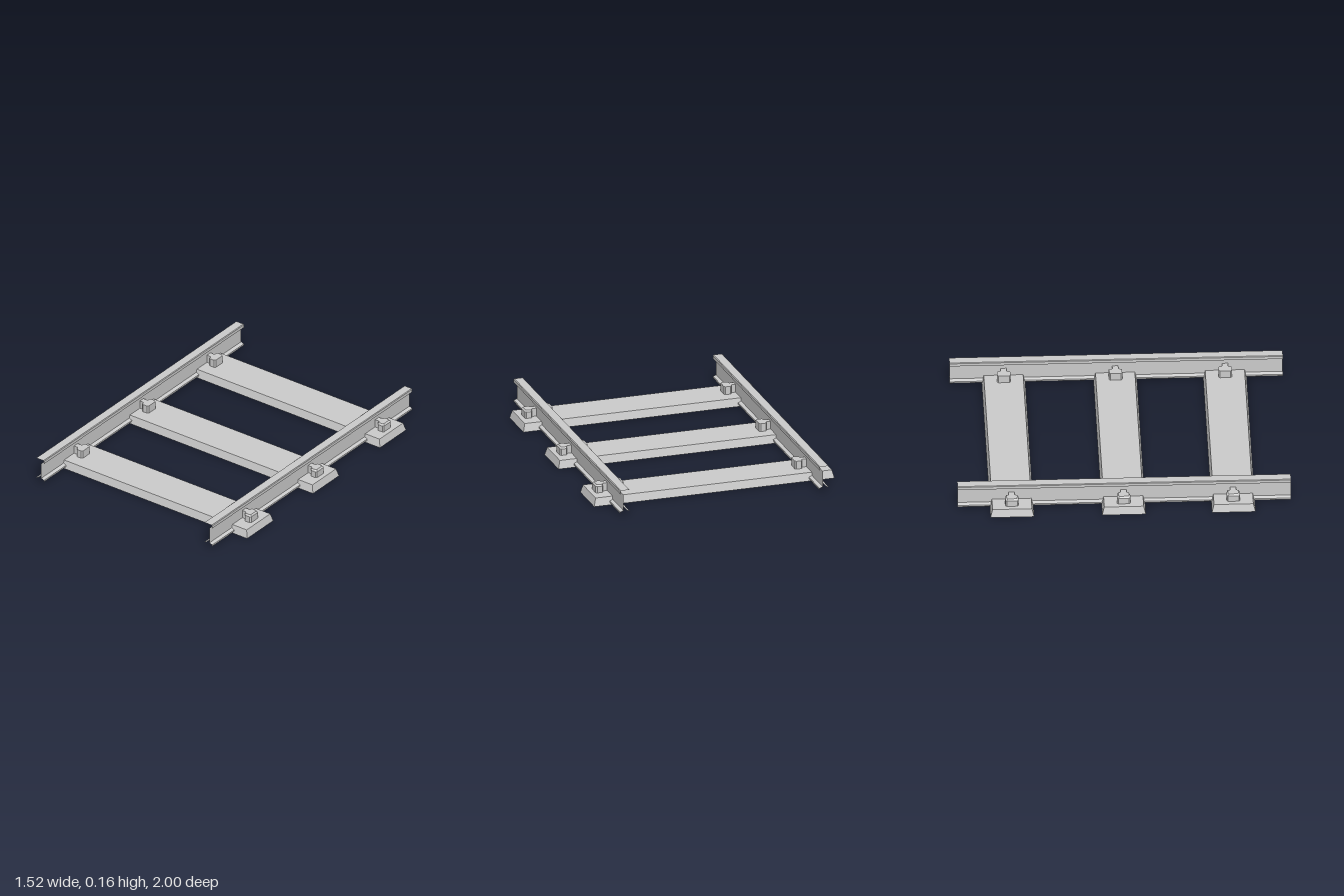
import * as THREE from 'three';

const grey = new THREE.MeshStandardMaterial({ color: 0xcccccc, flatShading: true });

function part(name, geometry, x, y, z) {
  const mesh = new THREE.Mesh(geometry, grey);
  mesh.name = name;
  mesh.position.set(x, y, z);
  return mesh;
}

// Sleeper: a box whose top is drawn in on all four sides
function sleeperGeometry() {
  const g = new THREE.BoxGeometry(1.52, 0.05, 0.262);
  const p = g.attributes.position;
  for (let i = 0; i < p.count; i++) {
    if (p.getY(i) > 0) {
      p.setX(i, p.getX(i) - Math.sign(p.getX(i)) * 0.013);
      p.setZ(i, p.getZ(i) - Math.sign(p.getZ(i)) * 0.013);
    }
  }
  g.computeVertexNormals();
  return g;
}

// Rail: I-shaped section swept along z, open at both ends
function railGeometry() {
  const half = [
    [0.027, 0.01], [0.03, 0.013], [0.03, 0.023], [0.01, 0.031],
    [0.01, 0.133], [0.03, 0.137], [0.03, 0.156], [0.026, 0.16],
  ];
  const loop = [...half, ...half.map(([x, y]) => [-x, y]).reverse()];
  const pos = [];
  loop.forEach((a, i) => {
    const b = loop[(i + 1) % loop.length];
    const q = [[...a, 1], [...a, -1], [...b, -1], [...b, 1]];
    for (const k of [0, 1, 2, 0, 2, 3]) pos.push(...q[k]);
  });
  const g = new THREE.BufferGeometry();
  g.setAttribute('position', new THREE.Float32BufferAttribute(pos, 3));
  g.computeVertexNormals();
  return g;
}

// Clip: T-shaped plan reaching to the web; the outer one has a bevelled top edge
function clipGeometry(bevelled) {
  const side = [[0, 0.018], [0.037, 0.018], [0.042, 0.024], [0.042, 0.034], [0.048, 0.04], [0.08, 0.04], [0.088, 0.032]];
  const plan = [...side.map(([x, z]) => [x, -z]), ...side.slice().reverse()];
  const shape = new THREE.Shape(plan.map(([x, z]) => new THREE.Vector2(x, z)));
  const g = new THREE.ExtrudeGeometry(shape, { depth: 0.05, steps: 5, bevelEnabled: false });
  g.rotateX(-Math.PI / 2);
  if (bevelled) {
    const p = g.attributes.position;
    for (let i = 0; i < p.count; i++) {
      if (p.getY(i) < 0.049 || p.getX(i) < 0.045) continue;
      if (p.getX(i) > 0.07) p.setX(i, p.getX(i) - 0.008);
      p.setZ(i, p.getZ(i) * 0.78);
    }
  }
  g.computeVertexNormals();
  return g;
}

export function createModel() {
  const model = new THREE.Group();
  model.name = 'railwayTrack';
  const sleeper = sleeperGeometry();
  const rail = railGeometry();
  const outerClip = clipGeometry(true);
  const innerClip = clipGeometry(false).rotateY(Math.PI);
  const rows = [-0.675, -0.005, 0.653];

  for (const z of rows) model.add(part('sleeper', sleeper, 0, 0.025, z));

  // Each side is the same assembly, turned half round for the right
  for (const s of [1, -1]) {
    const side = new THREE.Group();
    side.name = s > 0 ? 'leftRailAssembly' : 'rightRailAssembly';
    side.add(part('rail', rail, 0.63, 0, 0));
    for (const z of rows) {
      side.add(part('outerClip', outerClip, 0.63, 0.05, z * s));
      side.add(part('innerClip', innerClip, 0.63, 0.05, z * s));
    }
    if (s < 0) side.rotation.y = Math.PI;
    model.add(side);
  }
  return model;
}
